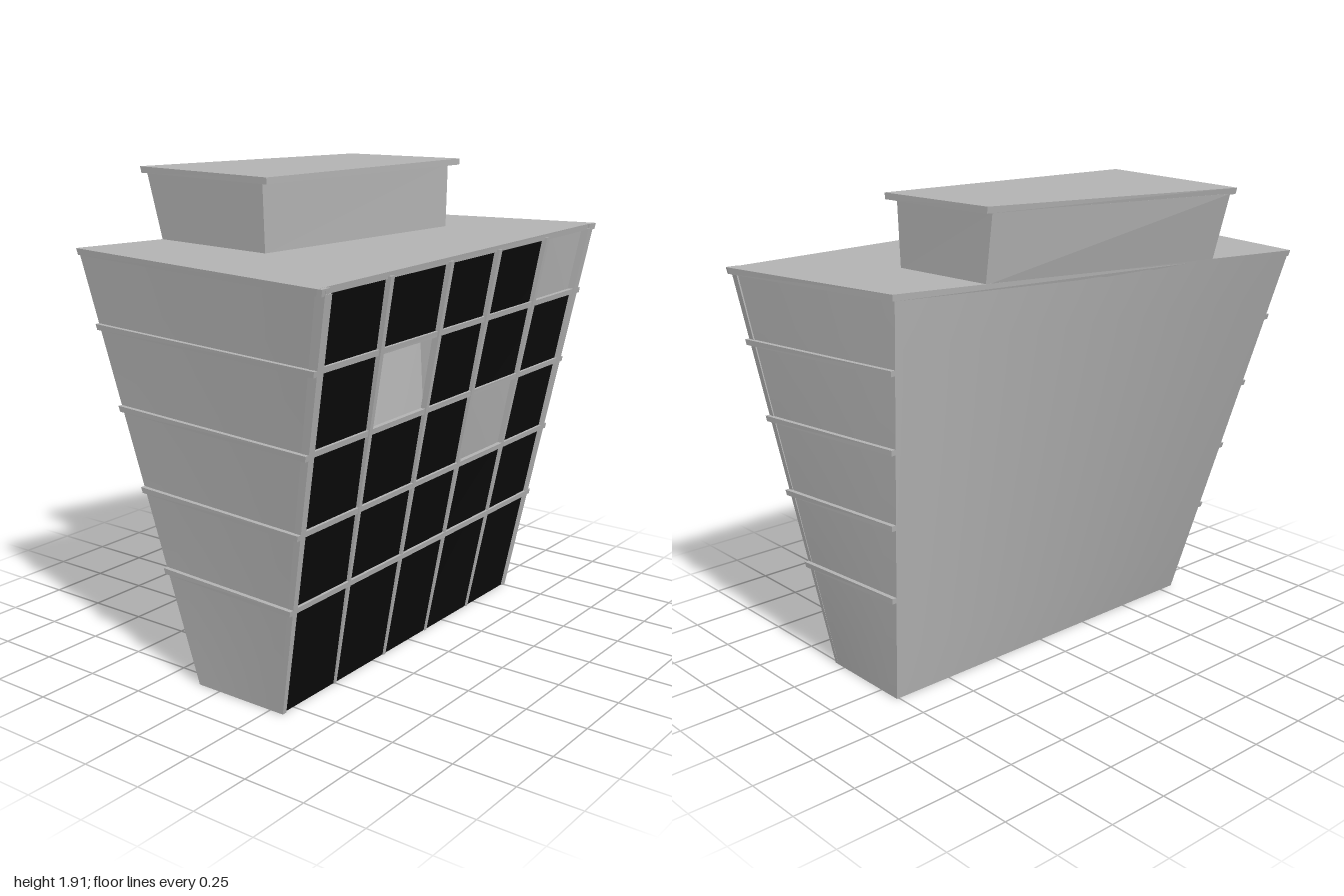
import * as THREE from 'three';

const concrete = new THREE.MeshStandardMaterial({ color: 0xb2b2b2, side: THREE.DoubleSide });
concrete.name = 'concrete grey';
const glass = new THREE.MeshStandardMaterial({ color: 0x0a0a0a, side: THREE.DoubleSide });
glass.name = 'black glass';

const H = 1.63; // roof height
const lerp = THREE.MathUtils.lerp;

// Wall corners [x, z] at the ground and at the roof
const corners = {
  frontRight: [[-0.82, 0.31], [-0.982, 0.642]],
  frontLeft: [[0.76, 0.31], [0.982, 0.565]],
  backLeft: [[0.76, -0.1], [0.825, -0.245]],
  backRight: [[-0.82, -0.1], [-0.83, -0.65]],
};
const corner = (name, y) => {
  const [b, t] = corners[name];
  return [lerp(b[0], t[0], y / H), y, lerp(b[1], t[1], y / H)];
};
const shift = (p, dx, dz = 0) => [p[0] + dx, p[1], p[2] + dz];

// Glass plane, leaning outwards
const frontZ = (x, y) => lerp(0.302, lerp(0.612, 0.542, (x + 1) / 2), y / H);

// Solid between two rings of corners, counter-clockwise seen from above
function loft(name, bottom, top, material = concrete) {
  const n = bottom.length, pos = [];
  const tri = (...pts) => pts.forEach((p) => pos.push(...p));
  for (let i = 0; i < n; i++) {
    const j = (i + 1) % n;
    tri(bottom[i], bottom[j], top[j]);
    tri(bottom[i], top[j], top[i]);
  }
  for (let i = 1; i < n - 1; i++) {
    tri(top[0], top[i], top[i + 1]);
    tri(bottom[0], bottom[i + 1], bottom[i]);
  }
  const geo = new THREE.BufferGeometry();
  geo.setAttribute('position', new THREE.Float32BufferAttribute(pos, 3));
  geo.computeVertexNormals();
  const mesh = new THREE.Mesh(geo, material);
  mesh.name = name;
  return mesh;
}

// Ruled sheet spanned between four corners
function sheet(name, p00, p10, p11, p01, material, segments) {
  const geo = new THREE.PlaneGeometry(1, 1, segments, segments);
  const pos = geo.attributes.position;
  for (let i = 0; i < pos.count; i++) {
    const u = pos.getX(i) + 0.5, v = pos.getY(i) + 0.5;
    pos.setXYZ(i, ...[0, 1, 2].map((k) => lerp(lerp(p00[k], p10[k], u), lerp(p01[k], p11[k], u), v)));
  }
  geo.computeVertexNormals();
  const mesh = new THREE.Mesh(geo, material);
  mesh.name = name;
  return mesh;
}

export function createModel() {
  const model = new THREE.Group();
  model.name = 'leaningBuilding';

  // Side and back walls, open at the bottom
  const walls = [
    ['leftWall', 'frontLeft', 'backLeft'],
    ['backWall', 'backLeft', 'backRight'],
    ['rightWall', 'backRight', 'frontRight'],
  ];
  for (const [name, a, b] of walls) {
    model.add(sheet(name, corner(a, 0), corner(b, 0), corner(b, H), corner(a, H), concrete, 8));
  }

  // Roof slab with a small lip at the sides
  const roofRing = (y) => {
    const s = 0.018;
    const fr = shift(corner('frontRight', y), -s), fl = shift(corner('frontLeft', y), s);
    const bl = shift(corner('backLeft', y), 0.01), br = shift(corner('backRight', y), -0.01);
    return [fr, [-0.955, y, frontZ(-0.955, y) + 0.01], [0.95, y, frontZ(0.95, y) + 0.01], fl, bl, br];
  };
  // The slab is a plain quad; the corner tips finish the posts
  const slabRing = (y) => {
    const r = roofRing(y);
    return [[r[0][0], y, r[1][2]], [r[3][0], y, r[2][2]], r[4], r[5]];
  };
  model.add(loft('roofSlab', slabRing(1.605), slabRing(H)));
  for (const [name, end, inner] of [['rightRoofTip', 0, 1], ['leftRoofTip', 3, 2]]) {
    const ring = (y) => {
      const r = roofRing(y), o = r[end], i = r[inner];
      const pts = [[o[0], y, o[2]], [i[0], y, o[2] - 0.003], [i[0], y, i[2]], [o[0], y, i[2]]];
      return end === 0 ? pts : [pts[1], pts[0], pts[3], pts[2]];
    };
    model.add(loft(name, ring(1.605), ring(H)));
  }

  // Vertical grid lines: x at the ground and at the roof
  const lines = [[-0.81, -0.965], [-0.5, -0.578], [-0.176, -0.182], [0.12, 0.175], [0.44, 0.568], [0.75, 0.965]];
  const floors = [0, 0.435, 0.738, 1.04, 1.342, 1.615];
  const lineX = (i, y) => lerp(lines[i][0], lines[i][1], y / H);

  // Glass panes, three of them left open
  const open = ['1,3', '3,2', '4,4'];
  const panes = new THREE.Group();
  panes.name = 'windowPanes';
  for (let c = 0; c < 5; c++) {
    for (let r = 0; r < 5; r++) {
      if (open.includes(`${c},${r}`)) continue;
      const at = (i, y) => [lineX(i, y), y, frontZ(lineX(i, y), y)];
      const lo = floors[r], hi = floors[r + 1];
      panes.add(sheet('pane', at(c, lo), at(c + 1, lo), at(c + 1, hi), at(c, hi), glass, 1));
    }
  }
  model.add(panes);

  // Mullions
  for (let i = 1; i < 5; i++) {
    const ring = (y) => {
      const x = lineX(i, y), w = lerp(0.006, 0.011, y / H), z = frontZ(x, y);
      const front = z + lerp(0.006, 0.022, y / H);
      return [[x - w, y, front], [x + w, y, front], [x + w, y, z - 0.008], [x - w, y, z - 0.008]];
    };
    model.add(loft('mullion', ring(0), ring(1.615)));
  }

  // Corner posts flush with the side walls
  for (const [name, key, side] of [['rightPost', 'frontRight', -1], ['leftPost', 'frontLeft', 1]]) {
    const ring = (y) => {
      const [x, , z] = corner(key, y);
      const inner = x - side * lerp(0.02, 0.038, y / H);
      const [x0, x1] = side < 0 ? [x, inner] : [inner, x];
      const back = frontZ(x, y) - 0.01;
      return [[x0, y, z], [x1, y, z], [x1, y, back], [x0, y, back]];
    };
    model.add(loft(name, ring(0), ring(1.61)));
  }

  // Floor beams on the front and ledges along both sides
  for (const y of floors.slice(1, 5)) {
    const beam = (h) => {
      const a = corner('frontRight', h)[0], b = corner('frontLeft', h)[0];
      const za = frontZ(a, h), zb = frontZ(b, h);
      return [[a, h, za + 0.012], [b, h, zb + 0.012], [b, h, zb - 0.008], [a, h, za - 0.008]];
    };
    model.add(loft('floorBeam', beam(y - 0.011), beam(y + 0.011)));
    const left = (h) => {
      const f = corner('frontLeft', h), b = corner('backLeft', h);
      return [f, shift(f, 0.018), shift(b, 0.018), b];
    };
    const right = (h) => {
      const f = corner('frontRight', h), b = corner('backRight', h);
      return [shift(f, -0.018), f, b, shift(b, -0.018)];
    };
    model.add(loft('leftLedge', left(y - 0.011), left(y + 0.011)));
    model.add(loft('rightLedge', right(y - 0.011), right(y + 0.011)));
  }

  // Rooftop block, its back continuing the back wall
  const ring = (y, pts) => pts.map(([x, z]) => [x, y, z]);
  model.add(loft('rooftopBlock',
    ring(H - 0.005, [[-0.52, 0.005], [0.525, 0.11], [0.485, -0.328], [-0.47, -0.56]]),
    ring(1.888, [[-0.53, 0.005], [0.535, 0.11], [0.485, -0.367], [-0.47, -0.634]])));
  model.add(loft('rooftopCap',
    ring(1.885, [[-0.555, 0.045], [0.56, 0.15], [0.505, -0.361], [-0.495, -0.639]]),
    ring(1.91, [[-0.555, 0.045], [0.56, 0.15], [0.505, -0.365], [-0.495, -0.646]])));

  return model;
}
